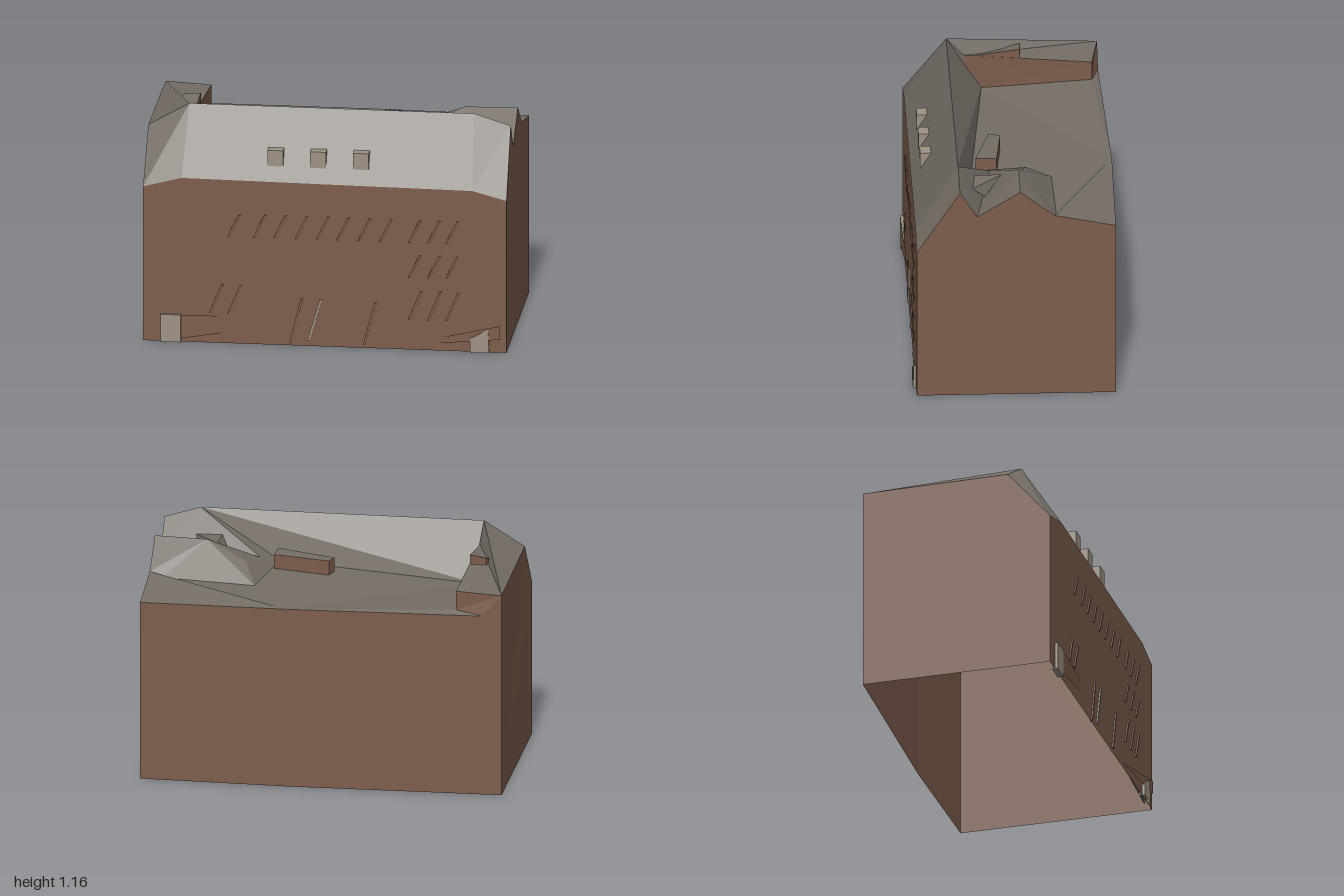
import * as THREE from 'three';

const mat = (name, color) => {
  const m = new THREE.MeshStandardMaterial({ color, side: THREE.DoubleSide, flatShading: true });
  m.name = name;
  return m;
};

export function createModel() {
  const model = new THREE.Group();
  model.name = 'building';
  const brick = mat('brick brown', 0x7d5d4b);
  const slate = mat('roof grey', 0x756e66);
  const stone = mat('pale stone', 0x9d9383);
  const glass = mat('window blue', 0x435863);

  // One mesh from several planar outlines, each fanned from its first corner
  const faces = (name, material, polys, parent = model) => {
    const pos = [];
    for (const p of polys)
      for (let i = 1; i < p.length - 1; i++) pos.push(...p[0], ...p[i], ...p[i + 1]);
    const g = new THREE.BufferGeometry();
    g.setAttribute('position', new THREE.Float32BufferAttribute(pos, 3));
    g.computeVertexNormals();
    const m = new THREE.Mesh(g, material);
    m.name = name;
    parent.add(m);
    return m;
  };
  const at = (p, y) => [p[0], y, p[2]];
  // Upright sides under a closed outline
  const skirt = (top, y) => top.map((p, i) => {
    const q = top[(i + 1) % top.length];
    return [p, q, at(q, y), at(p, y)];
  });

  // Ground corners: front right, front left, back left, back right, bend in the back
  const a = [-0.7, 0, 0.745], b = [1, 0, 0.18], c = [0.69, 0, -0.745], d = [-1, 0, -0.16], k = [0, 0, -0.525];
  // Eaves
  const a1 = at(a, 0.79), b1 = at(b, 0.78), c1 = at(c, 0.91), d1 = at(d, 1.03), k1 = at(k, 0.915);
  const eaveR = [-0.52, 0.84, 0.685], eaveL = [0.84, 0.825, 0.233];
  // Ridge and shoulders of the front roof
  const ridgeR = [-0.57, 1.16, 0.485], ridgeL = [0.76, 1.157, 0.04];
  const shoulderR = [-0.767, 1.04, 0.54], shoulderL = [0.93, 1.1, -0.02];
  // Gable corners on the left wall
  const gValley = [0.906, 0.97, -0.1], gPeak = [0.838, 1.1, -0.3], gFoot = [0.784, 0.97, -0.46];
  // Stepped corner and valley
  const stepTop = [-0.77, 1.03, -0.2], stepFoot = [-0.77, 0.935, -0.2], notch = [-0.91, 0.92, -0.191];
  const stepEnd = [-0.59, 1.07, 0.4], valleyR = [-0.62, 0.89, 0.32], valleyL = [0.35, 0.93, 0.09];
  // Cross roof
  const crossMid = [0.59, 1.095, -0.22], crossTip = [0.39, 1.01, -0.2];
  const crossBack = [0.29, 0.925, -0.3], crossFoot = [0.72, 0.945, -0.45], crossFront = [0.4, 0.97, -0.02];

  faces('frontWall', brick, [[a, b, b1, eaveL, eaveR, a1]]);
  faces('leftWall', brick, [[b, c, c1, gFoot, gPeak, gValley, shoulderL, b1]]);
  faces('backWall', brick, [[c, k, k1, c1], [d, d1, notch, k1, k]]);
  faces('rightWall', brick, [[d, a, a1, shoulderR, d1]]);
  faces('steppedParapet', brick, [[d1, stepTop, stepFoot, notch], [stepTop, stepEnd, valleyR, stepFoot]]);

  faces('frontRoof', slate, [
    [a1, eaveR, ridgeR, shoulderR],
    [eaveR, eaveL, ridgeL, ridgeR],
    [eaveL, b1, shoulderL, ridgeL],
    [ridgeL, shoulderL, gValley, crossFront, valleyL, valleyR, ridgeR],
    [ridgeR, valleyR, stepEnd],
  ]);
  faces('endRoof', slate, [[d1, shoulderR, ridgeR, stepEnd, stepTop]]);
  faces('backRoof', slate, [[k1, notch, stepFoot, valleyR, valleyL, crossBack, crossFoot, gFoot, c1]]);
  faces('crossRoof', slate, [
    [crossMid, gPeak, gFoot, crossFoot, crossBack, crossTip],
    [crossMid, crossTip, crossFront, gValley, gPeak],
    [crossTip, crossBack, valleyL, crossFront],
  ]);

  // Small roof structures: grey cap over brick sides
  const hutch = (name, top, foot) => {
    const g = new THREE.Group();
    g.name = name;
    faces(name + 'Cap', slate, [top], g);
    faces(name + 'Sides', brick, skirt(top, foot), g);
    model.add(g);
  };
  hutch('wedgeHutch', [[0.05, 0.99, 0.09], [0.35, 1.0, 0.07], [0.32, 1.0, -0.03], [0.05, 0.99, 0.03]], 0.91);
  hutch('endHutch', [[-0.67, 1.1, 0.14], [-0.75, 1.09, 0.16], [-0.74, 1.05, 0.3], [-0.59, 1.06, 0.4]], 0.97);
  faces('roofBump', slate, [
    [[0.58, 1.05, -0.13], [0.62, 1.05, 0], [0.75, 1.04, -0.03]],
    [[0.58, 1.05, -0.13], [0.75, 1.04, -0.03], [0.7, 0.98, -0.08]],
    [[0.58, 1.05, -0.13], [0.62, 1.05, 0], [0.55, 0.98, -0.06]],
  ]);

  // Facade frame: local x runs along the front wall, local z points out of it
  const facade = new THREE.Group();
  facade.name = 'facade';
  facade.position.set(0.15, 0, 0.4625);
  facade.rotation.y = Math.atan2(0.565, 1.7);
  model.add(facade);
  const u = x => (x - 0.15) / 0.949;

  // Slanted window: a narrow raised strip outside, a pane leaning into the room
  const slantWindow = (x, y0, y1, lean, strip = brick, pane = glass) => {
    const l = u(x), r = l + lean, w = 0.006, o = 0.007;
    const s = [[l - w, y0, o], [l + w, y0, o], [r + w, y1, o], [r - w, y1, o]];
    faces('windowStrip', strip, [s, ...s.map((p, i) => {
      const q = s[(i + 1) % 4];
      return [p, q, [q[0], q[1], 0], [p[0], p[1], 0]];
    })], facade);
    faces('windowPane', pane, [[[l, y0, -0.003], [l + 0.055, y0, -0.025], [r, y1, -0.003]],
      [[l, y0, -0.003], [r, y1, -0.003], [l, y1, -0.025]]], facade);
  };
  for (const x of [-0.18, -0.085, 0.015, 0.115, 0.21, 0.31, 0.41, 0.545, 0.635, 0.72])
    slantWindow(x, 0.55, 0.665, 0.055);
  for (const x of [0.545, 0.635, 0.72]) slantWindow(x, 0.37, 0.485, 0.055);
  for (const x of [-0.385, -0.3, 0.545, 0.635, 0.72]) slantWindow(x, 0.155, 0.3, 0.06);
  slantWindow(-0.3, 0.55, 0.66, 0.055, brick, brick);
  slantWindow(-0.01, 0.01, 0.24, 0.055, brick, stone);
  slantWindow(0.075, 0.03, 0.24, 0.06, stone, stone);
  slantWindow(0.335, 0.02, 0.235, 0.055, brick, stone);

  // Shallow sloping bands beside the two end porches
  faces('rightBand', brick, [[[u(-0.52), 0.14, 0.014], [u(-0.2), 0.14, 0.002], [u(-0.2), 0.075, 0.002], [u(-0.52), 0.02, 0.014]]], facade);
  faces('leftBand', brick, [[[u(0.5), 0.02, 0.002], [u(0.97), 0.14, 0.014], [u(0.97), 0.07, 0.014]]], facade);
  faces('rightBandPane', stone, [[[u(-0.6), 0.02, -0.004], [u(-0.2), 0.08, -0.03], [u(-0.52), 0.14, -0.004]]], facade);
  faces('leftBandPane', glass, [[[u(0.5), 0.02, -0.004], [u(0.97), 0.02, -0.03], [u(0.97), 0.14, -0.004]]], facade);

  const box = (name, material, w, h, dep, x, y, z) => {
    const m = new THREE.Mesh(new THREE.BoxGeometry(w, h, dep), material);
    m.name = name;
    m.position.set(x, y, z);
    facade.add(m);
  };
  box('rightPorch', stone, 0.1, 0.14, 0.03, u(-0.57), 0.07, 0);
  faces('leftPorch', stone, [[[u(0.83), 0, 0.016], [u(0.92), 0, 0.016], [u(0.915), 0.12, 0.016], [u(0.83), 0.07, 0.016]],
    [[u(0.92), 0, 0.016], [u(0.915), 0.12, 0.016], [u(0.915), 0.12, -0.015], [u(0.92), 0, -0.015]],
    [[u(0.83), 0.07, 0.016], [u(0.915), 0.12, 0.016], [u(0.915), 0.12, -0.015], [u(0.83), 0.07, -0.015]],
    [[u(0.83), 0, 0.016], [u(0.83), 0.07, 0.016], [u(0.83), 0.07, -0.015], [u(0.83), 0, -0.015]]], facade);

  // Three dormers on the front slope
  for (const x of [-0.075, 0.125, 0.325]) box('dormer', stone, 0.078, 0.083, 0.07, u(x) - 0.012, 0.942, -0.078);

  return model;
}
